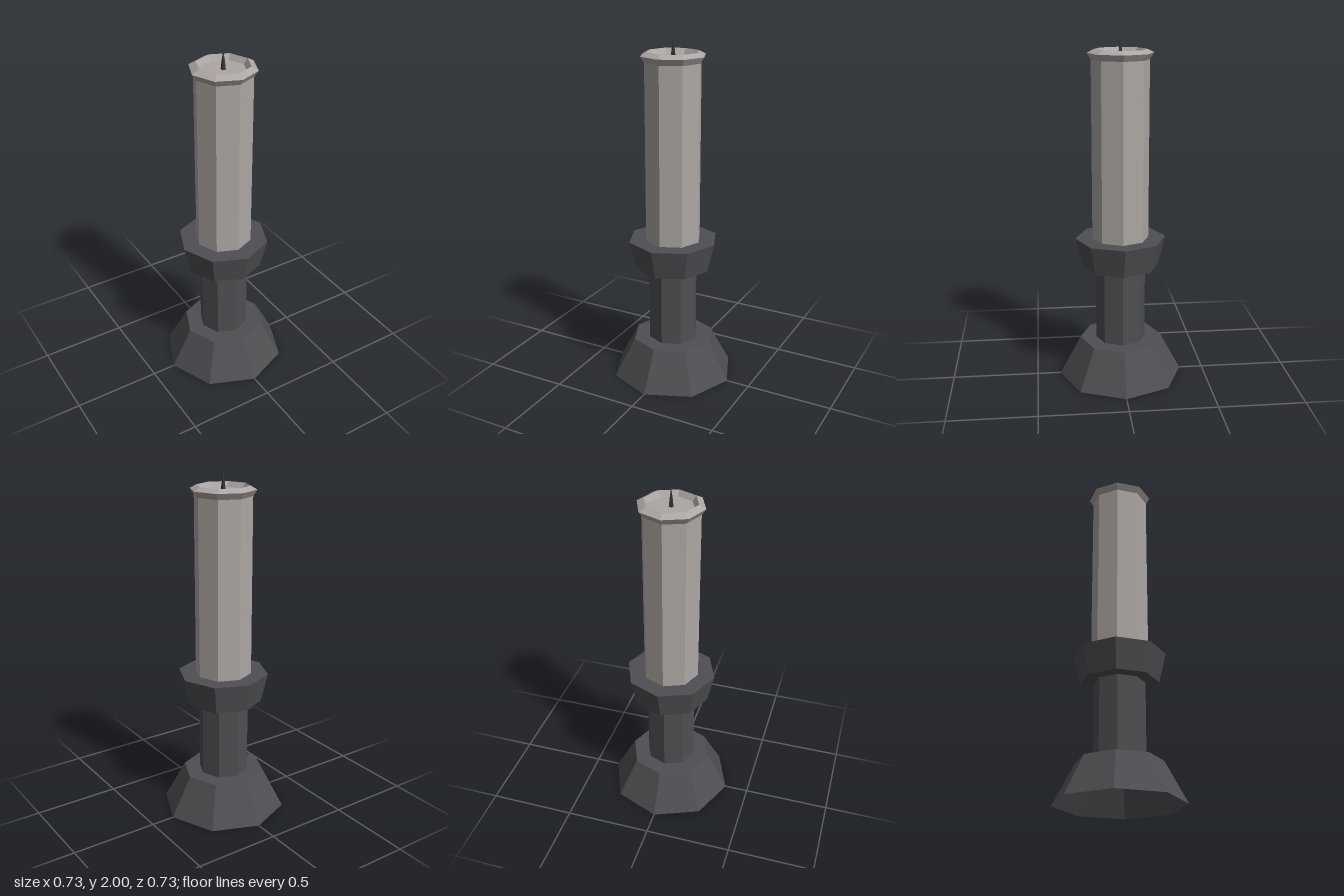
import * as THREE from 'three';

const metal = new THREE.MeshStandardMaterial({ color: 0x4f4e52, side: THREE.DoubleSide, flatShading: true });
metal.name = 'dark metal';
const wax = new THREE.MeshStandardMaterial({ color: 0xaca7a4, flatShading: true });
wax.name = 'pale wax';
const char = new THREE.MeshStandardMaterial({ color: 0x34363c, flatShading: true });
char.name = 'charred wick';

// Faceted turned part from [radius, height] pairs, listed bottom to top
function turned(name, profile, sides, material) {
  const points = profile.map(([r, y]) => new THREE.Vector2(r, y));
  const mesh = new THREE.Mesh(new THREE.LatheGeometry(points, sides), material);
  mesh.name = name;
  return mesh;
}

export function createModel() {
  const model = new THREE.Group();
  model.name = 'candlestick';

  // Hollow foot, open underneath, with a ledge up to the stem
  model.add(turned('foot', [[0.363, 0], [0.262, 0.0], [0.262, 0.0]].slice(0, 1).concat([[0.24, 0.23], [0.145, 0.23]]), 8, metal));

  // Hollow stem
  model.add(turned('stem', [[0.145, 0.23], [0.145, 0.68]], 8, metal));

  // Flared cup holding the candle
  model.add(turned('cup', [[0.145, 0.68], [0.222, 0.68], [0.262, 0.85], [0, 0.85]], 8, metal));

  // Candle with a flared lip and a shallow recess on top
  model.add(turned('candle', [
    [0.163, 0.85], [0.163, 1.87], [0.186, 1.905],
    [0.148, 1.925], [0.127, 1.895], [0, 1.895],
  ], 8, wax));

  // Square tapering wick
  const wick = turned('wick', [[0.014, 1.895], [0.009, 1.94], [0, 2]], 4, char);
  wick.rotation.y = Math.PI / 4;
  model.add(wick);

  return model;
}
